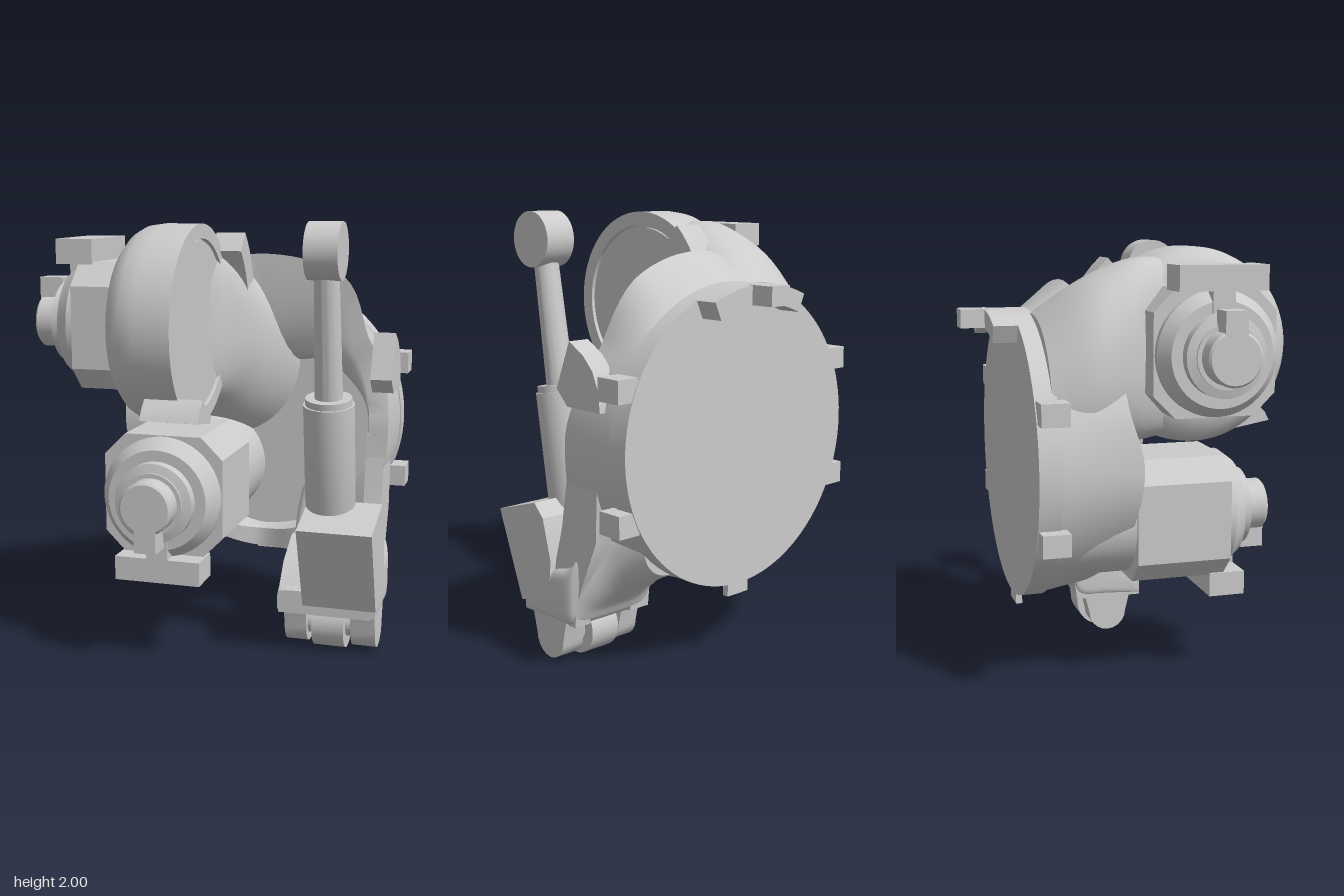
import * as THREE from 'three';
import { toCreasedNormals } from 'three/addons/utils/BufferGeometryUtils.js';

const mat = new THREE.MeshStandardMaterial({ color: 0xcccccc, side: THREE.DoubleSide });
const CX = 0.085, CY = 1.03; // centre of the round base

function add(parent, name, geo, crease = 0.5) {
  const m = new THREE.Mesh(toCreasedNormals(geo, crease), mat);
  m.name = name;
  parent.add(m);
  return m;
}

// box from its limits
function box(parent, name, x0, x1, y0, y1, z0, z1) {
  const g = new THREE.BoxGeometry(x1 - x0, y1 - y0, z1 - z0);
  return add(parent, name, g.translate((x0 + x1) / 2, (y0 + y1) / 2, (z0 + z1) / 2));
}

// turned solid along +z; profile is a list of [radius, z]
function turned(profile, seg = 48) {
  return new THREE.LatheGeometry(profile.map(p => new THREE.Vector2(...p)), seg).rotateX(Math.PI / 2);
}

// turned solid along x
const turnedX = (profile, y, z, seg) => turned(profile, seg).rotateY(Math.PI / 2).translate(0, y, z);
const discX = (r, x0, x1, y, z) => turnedX([[0, x0], [r, x0], [r, x1], [0, x1]], y, z);

// plate with an outline of [z, y] points, between two x positions
function sidePlate(outline, x0, x1) {
  const s = new THREE.Shape(outline.map(([z, y]) => new THREE.Vector2(-z, y)));
  return new THREE.ExtrudeGeometry(s, { depth: x1 - x0, bevelEnabled: false })
    .rotateY(Math.PI / 2).translate(x0, 0, 0);
}

// points [z, y] on an arc about (z, y), angles in degrees
const arc = (z, y, r, a0, a1, n = 12) => Array.from({ length: n + 1 }, (_, i) => {
  const a = (a0 + (a1 - a0) * i / n) * Math.PI / 180;
  return [z + r * Math.cos(a), y + r * Math.sin(a)];
});

// smooth value of column k in a table at t = 0..1
const column = (table, k) => {
  const c = new THREE.SplineCurve(table.map(r => new THREE.Vector2(r[0], r[k])));
  return t => c.getPoint(t).y;
};

// skin over closed rows of points
function skin(rows) {
  const n = rows[0].length, idx = [];
  for (let i = 0; i < rows.length - 1; i++)
    for (let j = 0; j < n; j++) {
      const k = (j + 1) % n, a = i * n + j, b = i * n + k, c = a + n, d = b + n;
      idx.push(a, b, d, a, d, c);
    }
  const g = new THREE.BufferGeometry();
  g.setAttribute('position', new THREE.Float32BufferAttribute(rows.flat(2), 3));
  g.setIndex(idx);
  return g;
}

// loft of rounded sections [z, cx, cy, halfWidth, halfHeight, squareness]
function loft(table, steps = 20, seg = 56) {
  const cols = [0, 1, 2, 3, 4, 5].map(k => column(table, k));
  const rows = [];
  for (let i = 0; i <= steps; i++) {
    const [z, cx, cy, a, b, n] = cols.map(f => f(i / steps));
    const row = [];
    for (let j = 0; j < seg; j++) {
      const c = Math.cos(j / seg * 2 * Math.PI), s = Math.sin(j / seg * 2 * Math.PI);
      row.push([cx + a * Math.sign(c) * Math.abs(c) ** (2 / n), cy + b * Math.sign(s) * Math.abs(s) ** (2 / n), z]);
    }
    rows.push(row);
  }
  const cap = r => r.map(() => [0, 1, 2].map(k => r.reduce((s, p) => s + p[k], 0) / r.length));
  return skin([cap(rows[0]), ...rows, cap(rows[steps])]);
}

// hollow housing: [angle, outer front radius, front z, inner front radius, floor radius]
function housingGeometry() {
  const base = [
    [0, .66, -.10, .57, .56], [35, .68, -.20, .58, .45], [62, .81, -.27, .74, .32],
    [90, .80, -.25, .72, .27], [120, .75, -.20, .60, .30], [150, .66, -.10, .50, .40],
    [180, .62, -.03, .45, .45], [215, .60, -.06, .45, .45], [250, .63, -.20, .56, .55],
    [270, .67, -.30, .58, .57], [290, .69, -.25, .58, .57], [315, .71, -.11, .60, .57],
    [340, .67, -.09, .57, .57]];
  const curve = k => {
    const f = base.map(r => r[k]);
    return deg => {
      let i = base.length - 1;
      while (base[i][0] > deg) i--;
      const j = (i + 1) % base.length, end = j ? base[j][0] : 360;
      return THREE.MathUtils.lerp(f[i], f[j], THREE.MathUtils.smoothstep(deg, base[i][0], end));
    };
  };
  const [ro, zf, ri, rfl] = [1, 2, 3, 4].map(curve);
  const ring = f => Array.from({ length: 96 }, (_, j) => {
    const deg = j * 3.75, a = deg * Math.PI / 180, [r, z] = f(deg);
    return [CX + r * Math.cos(a), CY + r * Math.sin(a), z];
  });
  const rows = [];
  for (let i = 0; i <= 6; i++)
    rows.push(ring(d => [THREE.MathUtils.lerp(.67, ro(d), i / 6), THREE.MathUtils.lerp(-.43, zf(d), i / 6)]));
  for (let i = 0; i <= 6; i++) { // concave inner wall
    const q = i / 6 * Math.PI / 2;
    rows.push(ring(d => [rfl(d) + (ri(d) - rfl(d)) * (1 - Math.sin(q)), -.38 + (zf(d) + .38) * Math.cos(q)]));
  }
  rows.push(ring(() => [0, -.38]));
  return skin(rows);
}

// motor along +z with its terminal box below
function motor(name) {
  const g = new THREE.Group(), h = .28, c = .18;
  g.name = name;
  const s = new THREE.Shape([[h, -c], [h, c], [c, h], [-c, h], [-h, c], [-h, -c], [-c, -h], [c, -h]]
    .map(p => new THREE.Vector2(...p)));
  add(g, 'motorBody', new THREE.ExtrudeGeometry(s, { depth: .44, bevelEnabled: false }).translate(0, 0, -.04));
  add(g, 'motorEnd', turned([[0, .38], [.275, .38], [.275, .43], [.23, .49], [.18, .49], [.18, .54],
    [.14, .55], [.14, .56], [.12, .56], [.12, .64], [.11, .65], [0, .65]]));
  box(g, 'plug', -.05, .05, -.20, -.08, .54, .65);
  box(g, 'plugNeck', -.05, .05, -.29, -.18, .40, .50);
  box(g, 'terminalBox', -.20, .20, -.38, -.27, .33, .50);
  return g;
}

export function createModel() {
  const model = new THREE.Group();
  model.name = 'robotCarousel';

  // round base with lugs, stop band and tabs
  add(model, 'baseDisc', turned([[0, -.51], [.675, -.51], [.675, -.41], [0, -.41]], 96).translate(CX, CY, 0));
  for (const s of [-1, 1])
    for (const y of [.75, 1.31]) {
      const x = CX + s * .65;
      box(model, 'lug', x - .055, x + .055, y - .05, y + .05, -.505, -.38);
    }
  const band = new THREE.Shape();
  band.absarc(CX, CY, .675, Math.PI / 2 - .42, Math.PI / 2 + .42, false);
  band.absarc(CX, CY, .59, Math.PI / 2 + .42, Math.PI / 2 - .42, true);
  add(model, 'stopBand', new THREE.ExtrudeGeometry(band, { depth: .12, bevelEnabled: false }).translate(0, 0, -.62));
  box(model, 'stopTab', .03, .14, 1.62, 1.705, -.73, -.60);
  box(model, 'bottomTab', .02, .15, .30, .38, -.50, -.47);

  // cast housing and the shoulder rising from it
  add(model, 'housing', housingGeometry(), .7);
  add(model, 'shoulder', loft([
    [-.43, -.10, 1.29, .40, .40, 2], [-.25, -.19, 1.41, .34, .42, 2.1],
    [-.10, -.21, 1.50, .28, .405, 2.3], [.02, -.225, 1.53, .205, .41, 2.6], [.15, -.21, 1.54, .16, .40, 3]]), .8);
  add(model, 'shoulderRing', turnedX([[0, -.37], [.30, -.37], [.36, -.355], [.41, -.315], [.435, -.27],
    [.445, -.20], [.445, -.04], [.38, -.04], [.38, -.065], [.37, -.065], [.37, -.05], [0, -.05]], 1.54, .285, 80));
  add(model, 'ringStop', sidePlate([[.69, 1.17], [.67, 1.21], [.62, 1.26], [.50, 1.17], [.52, 1.14]], -.19, .07));
  add(model, 'shoulderWeb', sidePlate(
    [...arc(.285, 1.54, .42, 132, 205), ...arc(.285, 1.54, .53, 205, 132)], -.08, .06));

  // two motors
  const upper = motor('shoulderMotor');
  upper.rotation.set(0, -Math.PI / 2, Math.PI);
  upper.position.set(-.15, 1.54, .28);
  const lower = motor('turnMotor');
  lower.position.set(-.19, .77, 0);
  model.add(upper, lower);
  add(model, 'motorMount', turned([[0, -.40], [.27, -.40], [.27, 0], [0, 0]]).translate(-.19, .77, 0));

  // arm carrying the balance cylinder, with a raised outer wall
  add(model, 'cylinderArm', loft([
    [-.42, .42, .60, .16, .15, 2.2], [-.26, .46, .53, .18, .17, 2.6],
    [-.16, .51, .43, .22, .16, 3.5], [-.11, .525, .345, .235, .145, 6], [.02, .525, .32, .235, .12, 7],
    [.20, .525, .255, .23, .055, 8]]), .8);
  add(model, 'armWall', sidePlate([[-.30, 1], [-.11, 1], [-.085, .85], [-.05, .65], [0, .48], [.12, .42],
    [.20, .30], [.20, .20], [-.13, .20], [-.14, .30], [-.19, .42], [-.28, .62]], .645, .73));
  add(model, 'innerArmWall', sidePlate([[-.25, .50], [-.05, .50], [.10, .42], [.20, .30], [.20, .20],
    [-.13, .20], [-.14, .29], [-.22, .36]], .30, .41));
  const ear = [[-.09, .24], ...arc(.035, .115, .095, 180, 360, 10), [.16, .24]];
  add(model, 'innerEar', sidePlate(ear, .315, .42));
  add(model, 'outerEar', sidePlate(ear, .63, .745));
  add(model, 'cylinderCover', sidePlate([[.375, .65], [.11, .73], [.05, .67], [0, .48], [.02, .30], [.22, .25]], .42, .76));
  add(model, 'sideBracket', sidePlate(
    [[-.07, 1.27], [-.16, 1.48], [-.25, 1.43], [-.31, 1.37], [-.345, 1.29], [-.355, 1.2], [-.14, 1.2]], .66, .76));

  // balance cylinder between its lower and upper eyes
  const low = new THREE.Vector3(.525, .13, .035), top = new THREE.Vector3(.525, 1.875, .31);
  add(model, 'lowerEye', discX(.125, .45, .60, low.y, low.z));
  add(model, 'lowerPin', discX(.07, .36, .70, low.y, low.z));
  add(model, 'upperEye', discX(.125, .45, .598, top.y, top.z));
  const strut = new THREE.Group();
  strut.name = 'balanceCylinder';
  strut.position.copy(low);
  strut.quaternion.setFromUnitVectors(new THREE.Vector3(0, 0, 1), top.clone().sub(low).normalize());
  add(strut, 'tube', turned([[0, .12], [.08, .12], [.115, .20], [.115, 1.08], [.105, 1.08], [.105, 1.11], [.06, 1.11]]));
  add(strut, 'rod', turned([[.065, 1.0], [.055, 1.7]]));
  model.add(strut);
  return model;
}
